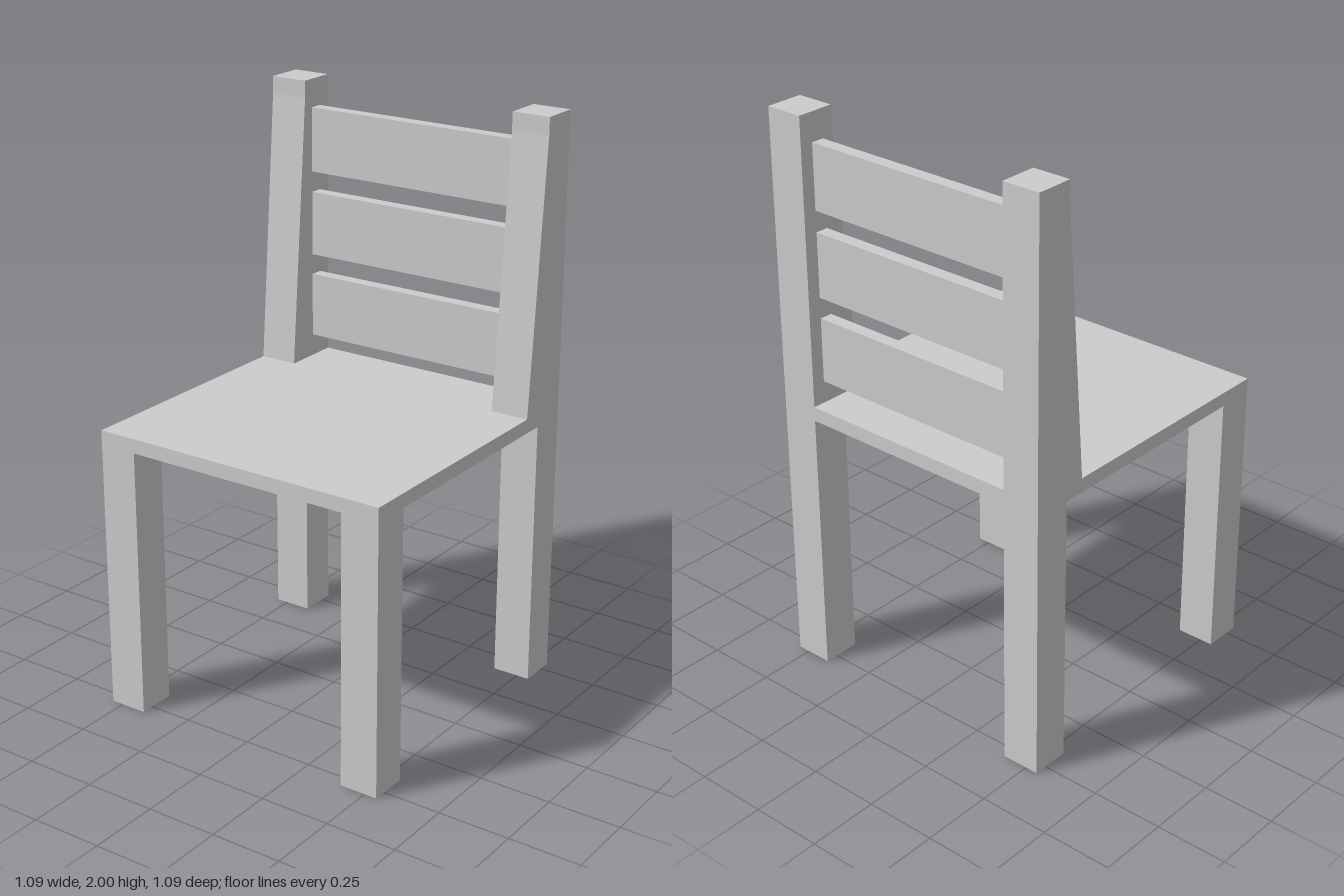
import * as THREE from 'three';

const H = 0.544;        // half of the square footprint
const I = 0.408;        // inner faces of the legs
const LEG = H - I;      // leg thickness
const SEAT_TOP = 1.0, SEAT_BOTTOM = 0.95;

export function createModel() {
  const chair = new THREE.Group();
  chair.name = 'chair';
  const material = new THREE.MeshStandardMaterial({ color: 0xcccccc, flatShading: true });

  const add = (name, geometry, x = 0, y = 0, z = 0) => {
    const mesh = new THREE.Mesh(geometry, material);
    mesh.name = name;
    mesh.position.set(x, y, z);
    chair.add(mesh);
    return mesh;
  };
  const extrude = (points, depth) => new THREE.ExtrudeGeometry(
    new THREE.Shape(points.map(([x, y]) => new THREE.Vector2(x, y))),
    { depth, bevelEnabled: false });

  // Seat board, notched at the rear corners for the posts (outline is x, -z)
  const seat = extrude([
    [-H, -H], [H, -H], [H, I], [I, I], [I, H], [-I, H], [-I, I], [-H, I],
  ], SEAT_TOP - SEAT_BOTTOM);
  seat.rotateX(-Math.PI / 2);
  add('seat', seat, 0, SEAT_BOTTOM, 0);

  // Rear post side profile (-z, y): straight leg with a tapering foot resting on the seat
  const post = extrude([
    [H, 0], [H, 2], [0.41, 2], [0.41, 1.94], [0.335, SEAT_TOP], [I, SEAT_TOP], [I, 0],
  ], LEG);
  post.rotateY(Math.PI / 2);
  post.translate(-LEG / 2, 0, 0);

  // Front legs and rear posts, mirrored
  const frontLeg = new THREE.BoxGeometry(LEG, SEAT_BOTTOM, LEG);
  for (const [side, s] of [['left', 1], ['right', -1]]) {
    const x = s * (H + I) / 2;
    add(`${side}FrontLeg`, frontLeg, x, SEAT_BOTTOM / 2, (H + I) / 2);
    add(`${side}RearPost`, post, x);
  }

  // Three back slats between the posts
  const slat = new THREE.BoxGeometry(2 * I, 0.226, 0.046);
  ['lower', 'middle', 'upper'].forEach((level, i) =>
    add(`${level}BackSlat`, slat, 0, 1.19 + i * 0.299, -0.473));

  return chair;
}
